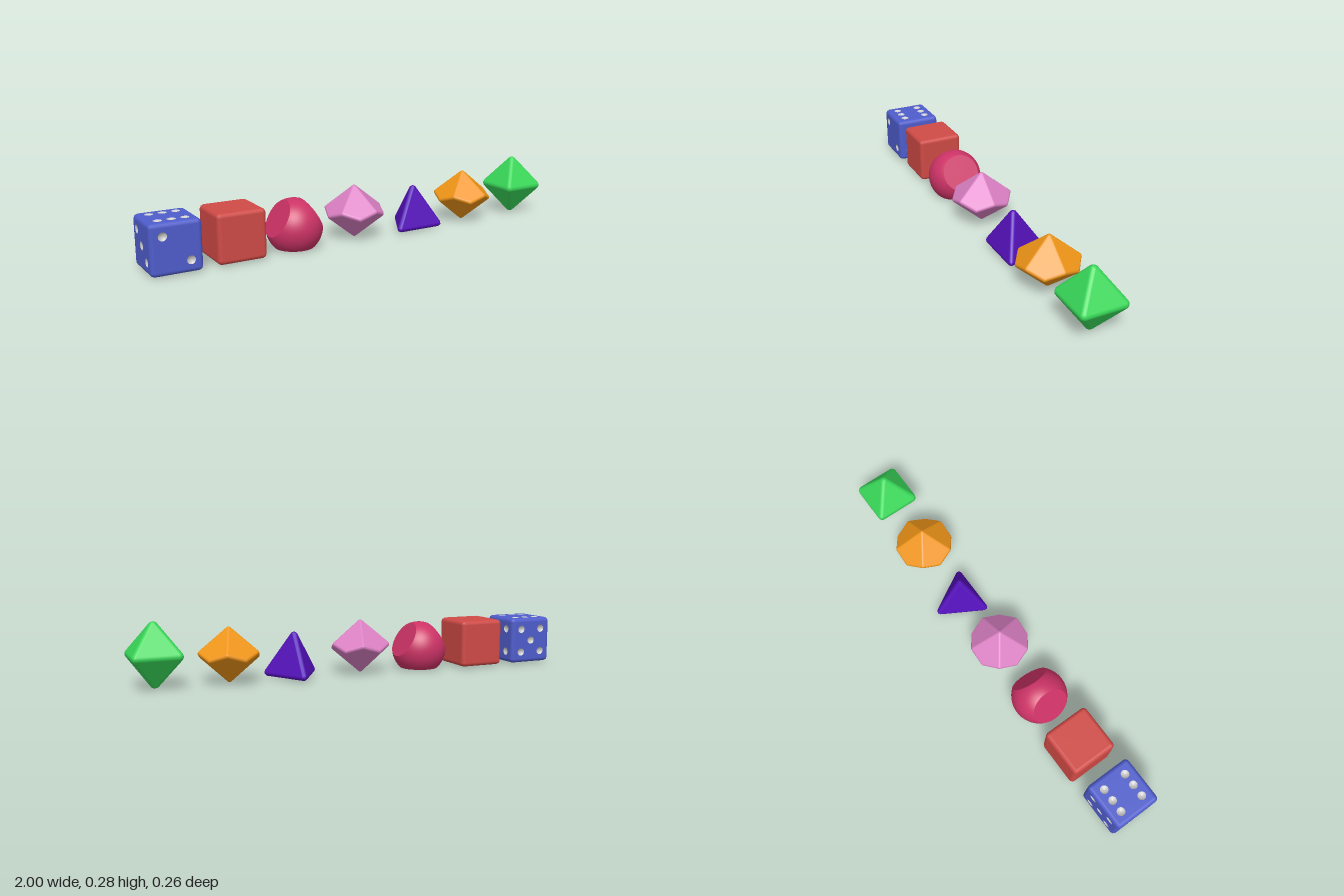
import * as THREE from 'three';
import { ConvexGeometry } from 'three/addons/geometries/ConvexGeometry.js';

const V = (x, y, z) => new THREE.Vector3(x, y, z);
const mat = (color) => new THREE.MeshStandardMaterial({ color });

function add(parent, name, geometry, material) {
  const mesh = new THREE.Mesh(geometry, material);
  mesh.name = name;
  parent.add(mesh);
  return mesh;
}

// Solid whose faces all lie at distance d along the given normals, with edges rounded by r
function roundedSolid(normals, d, r, skipFaces = false) {
  const inner = d - r, core = [];
  const n = normals.map((v) => v.clone().normalize());
  for (let i = 0; i < n.length; i++) for (let j = i + 1; j < n.length; j++) for (let k = j + 1; k < n.length; k++) {
    const ij = n[i].clone().cross(n[j]), det = ij.dot(n[k]);
    if (Math.abs(det) < 1e-4) continue;
    const p = ij.add(n[j].clone().cross(n[k])).add(n[k].clone().cross(n[i])).multiplyScalar(inner / det);
    if (n.every((m) => m.dot(p) < inner + 1e-6) && core.every((q) => q.distanceTo(p) > 1e-4)) core.push(p);
  }
  // Each corner becomes a small ball patch spanning its neighbouring normals
  const points = [];
  const addPoint = (p) => { if (points.every((q) => q.distanceTo(p) > 1e-5)) points.push(p); };
  for (const c of core) {
    const near = n.filter((m) => m.dot(c) > inner - 1e-5);
    const dirs = [near.reduce((s, m) => s.add(m), V(0, 0, 0)).normalize()];
    for (const a of near) for (const b of near) {
      for (let t = 0; t <= 4; t++) dirs.push(a.clone().lerp(b, t / 4).normalize());
    }
    dirs.forEach((dir) => addPoint(c.clone().addScaledVector(dir, r)));
  }
  const hull = new ConvexGeometry(points).getAttribute('position');
  const pos = [], nor = [];
  for (let i = 0; i < hull.count; i += 3) {
    const ps = [0, 1, 2].map((k) => V().fromBufferAttribute(hull, i + k));
    const ns = ps.map((p) => {
      const c = core.reduce((a, b) => (a.distanceTo(p) < b.distanceTo(p) ? a : b));
      return p.clone().sub(c).normalize();
    });
    if (skipFaces && n.some((m) => ns.every((q) => q.dot(m) > 0.999))) continue;
    ps.forEach((p, k) => { pos.push(...p.toArray()); nor.push(...ns[k].toArray()); });
  }
  const g = new THREE.BufferGeometry();
  g.setAttribute('position', new THREE.Float32BufferAttribute(pos, 3));
  g.setAttribute('normal', new THREE.Float32BufferAttribute(nor, 3));
  return g;
}

const cubeNormals = [V(1, 0, 0), V(-1, 0, 0), V(0, 1, 0), V(0, -1, 0), V(0, 0, 1), V(0, 0, -1)];

// Cube with sunken pips: rounded frame, pierced faces, shallow cups
function pipDie(color) {
  const die = new THREE.Group(), body = mat(color), d = 0.107, r = 0.018, s = d - r, o = 0.055, pipR = 0.018;
  const cupMat = mat(0xcccccc);
  cupMat.side = THREE.DoubleSide;
  add(die, 'roundedEdges', roundedSolid(cubeNormals, d, r, true), body);
  const diagonal = [[-o, o], [o, -o]], four = [...diagonal, [o, o], [-o, -o]];
  const faces = [
    [0, 0, diagonal], [0, Math.PI / 2, four],
    [0, Math.PI, [...four, [0, 0]]], [0, -Math.PI / 2, [...diagonal, [0, 0]]],
    [-Math.PI / 2, 0, [...four, [0, o], [0, -o]]], [Math.PI / 2, 0, [[0, 0]]],
  ];
  const cup = new THREE.LatheGeometry(
    [[0, -0.009], [0.008, -0.0075], [0.014, -0.004], [pipR, 0]].map(([x, y]) => new THREE.Vector2(x, y)), 24);
  cup.rotateX(Math.PI / 2);
  for (const [rx, ry, pips] of faces) {
    const side = new THREE.Group();
    side.name = 'pipFace';
    side.rotation.set(rx, ry, 0);
    const shape = new THREE.Shape([[-s, -s], [s, -s], [s, s], [-s, s]].map(([x, y]) => new THREE.Vector2(x, y)));
    for (const [x, y] of pips) {
      shape.holes.push(new THREE.Path().absarc(x, y, pipR, 0, Math.PI * 2, true));
      add(side, 'pip', cup, cupMat).position.set(x, y, d);
    }
    add(side, 'faceplate', new THREE.ShapeGeometry(shape, 24), body).position.z = d;
    die.add(side);
  }
  return die;
}

// Ball of radius R sliced by three planes at distance r from its centre
function slicedBall(color) {
  const die = new THREE.Group(), body = mat(color), R = 0.125, r = 0.09, rows = 32;
  const rc = Math.sqrt(R * R - r * r);
  const strip = new THREE.PlaneGeometry(2, 2, 16, rows);
  const p = strip.attributes.position, nor = strip.attributes.normal;
  for (let i = 0; i < p.count; i++) {
    const z = rc * Math.sin(p.getY(i) * Math.PI / 2), rz = Math.sqrt(R * R - z * z);
    const a = Math.PI / 2 + p.getX(i) * (Math.PI / 3 - Math.acos(Math.min(1, r / rz)));
    const q = V(rz * Math.cos(a), rz * Math.sin(a), z);
    p.setXYZ(i, q.x, q.y, q.z);
    nor.setXYZ(i, q.x / R, q.y / R, q.z / R);
  }
  const disc = new THREE.CircleGeometry(rc, rows * 2).rotateX(Math.PI / 2).translate(0, -r, 0);
  for (let k = 0; k < 3; k++) {
    add(die, 'curvedRidge', strip, body).rotation.z = k * Math.PI * 2 / 3;
    add(die, 'flatFace', disc, body).rotation.z = k * Math.PI * 2 / 3;
  }
  const cap = new THREE.SphereGeometry(R, 48, 10, 0, Math.PI * 2, 0, Math.asin(r / R));
  for (const s of [1, -1]) add(die, 'endCap', cap, body).rotation.x = s * Math.PI / 2;
  return die;
}

function solidDie(color, normals, d, r) {
  const die = new THREE.Group();
  add(die, 'body', roundedSolid(normals, d, r), mat(color));
  return die;
}

// Ten kite faces: five above, five below, offset by half a step
function tenSided(color) {
  const H = 0.124, R = 0.141, out = H * 1.1056, normals = [];
  for (let k = 0; k < 10; k++) {
    const a = k * Math.PI / 5;
    normals.push(V(out * Math.cos(a), k % 2 ? R : -R, out * Math.sin(a)));
  }
  return solidDie(color, normals, H * R / Math.hypot(out, R), 0.012);
}

function fourSided(color) {
  const normals = [V(0, -1, 0)], w = Math.sqrt(8);
  for (let k = 0; k < 3; k++) {
    const a = k * Math.PI * 2 / 3;
    normals.push(V(w * Math.sin(a), 1, w * Math.cos(a)));
  }
  return solidDie(color, normals, 0.0575, 0.015);
}

function eightSided(color) {
  const normals = [], h = Math.SQRT2;
  for (const s of [1, -1]) normals.push(V(h, s, 0), V(-h, s, 0), V(0, s, h), V(0, s, -h));
  return solidDie(color, normals, 0.109 * Math.sqrt(2 / 3), 0.02);
}

export function createModel() {
  const model = new THREE.Group();
  model.name = 'diceSet';
  const place = (name, die, x, y, z = 0) => {
    die.name = name;
    die.position.set(x, y, z);
    model.add(die);
  };
  place('pipCubeDie', pipDie(0x4f5dcc), -0.893, 0.112, 0.004);
  place('plainCubeDie', solidDie(0xcf4a46, cubeNormals, 0.107, 0.018), -0.614, 0.113, -0.003);
  place('threeSidedDie', slicedBall(0xcc3366), -0.333, 0.094);
  place('tenSidedDie', tenSided(0xd97fc2), -0.031, 0.123);
  place('fourSidedDie', fourSided(0x5511bb), 0.285, 0.0625, 0.004);
  place('percentileDie', tenSided(0xee9418), 0.579, 0.122);
  place('eightSidedDie', eightSided(0x38d658), 0.893, 0.1395);
  return model;
}
